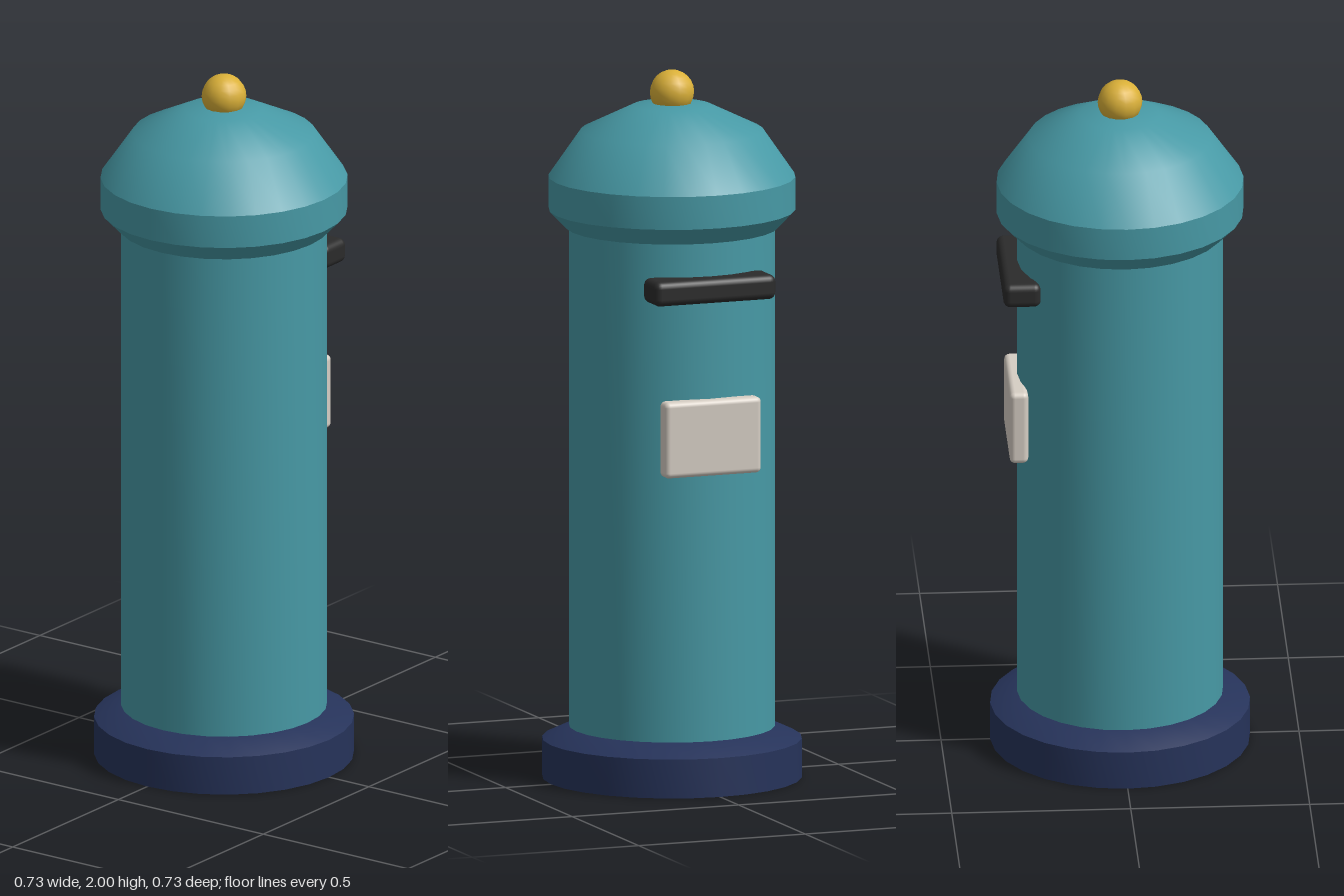
import * as THREE from 'three';
import { toCreasedNormals } from 'three/addons/utils/BufferGeometryUtils.js';
import { RoundedBoxGeometry } from 'three/addons/geometries/RoundedBoxGeometry.js';

const SIDES = 28;

function paint(name, color) {
  const material = new THREE.MeshStandardMaterial({ color });
  material.name = name;
  return material;
}

export function createModel() {
  const group = new THREE.Group();
  group.name = 'pillarBox';

  const teal = paint('teal', 0x4799a5);
  const navy = paint('navy', 0x26335a);
  const gold = paint('gold', 0xdab038);
  const black = paint('black', 0x2b2b2b);
  const cream = paint('cream', 0xd6cec4);

  const add = (name, geometry, material, x = 0, y = 0, z = 0) => {
    const mesh = new THREE.Mesh(geometry, material);
    mesh.name = name;
    mesh.position.set(x, y, z);
    group.add(mesh);
  };

  // Turned part from a bottom-to-top profile of [radius, height]
  const turned = (profile) => toCreasedNormals(
    new THREE.LatheGeometry(profile.map(([r, y]) => new THREE.Vector2(r, y)), SIDES), 0.56);

  // Plinth with a sloped shoulder
  add('base', turned([[0, 0], [0.363, 0], [0.363, 0.11], [0.288, 0.145], [0, 0.145]]), navy);

  // Cylindrical body
  add('body', turned([[0.288, 0.13], [0.288, 1.6]]), teal);

  // Overhanging domed cap
  add('cap', turned([
    [0, 1.557], [0.297, 1.557], [0.345, 1.607], [0.345, 1.7],
    [0.255, 1.83], [0.11, 1.9], [0, 1.913],
  ]), teal);

  // Finial ball
  add('finial', new THREE.SphereGeometry(0.0625, 14, 12), gold, 0, 1.9375, 0);

  // Letter slot and notice plate on the +x side
  add('letterSlot', new RoundedBoxGeometry(0.105, 0.07, 0.365, 3, 0.02), black, 0.283, 1.427, 0);
  add('noticePlate', new RoundedBoxGeometry(0.052, 0.215, 0.29, 3, 0.015), cream, 0.29, 1.008, 0);

  return group;
}
